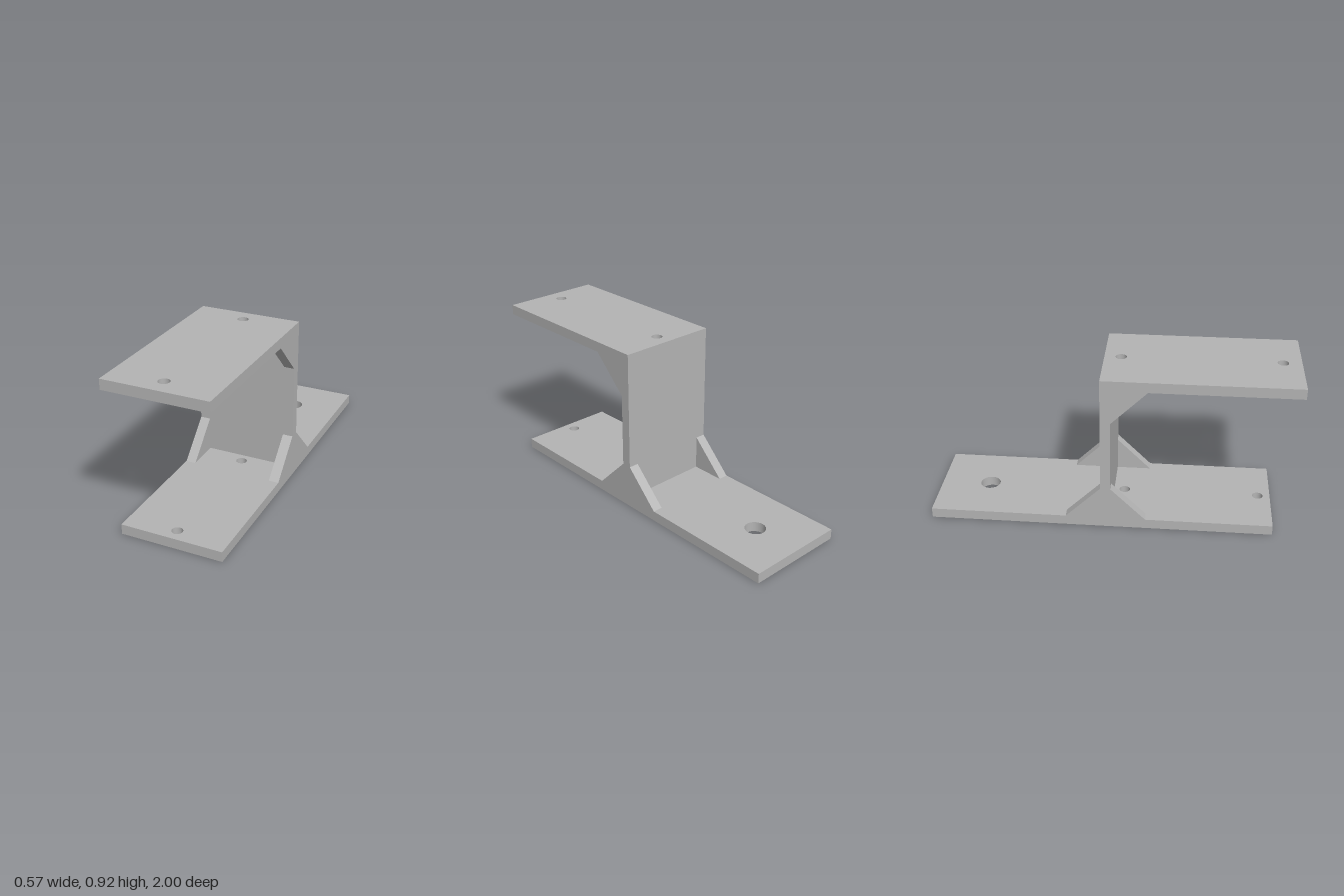
import * as THREE from 'three';

const HALF_W = 0.285; // half width of the bracket
const T = 0.057; // plate thickness
const TOP = 0.915; // total height
const WEB_BACK = -0.045, WEB_FRONT = 0.01;
const LEG = 0.194; // gusset leg length

export function createModel() {
  const group = new THREE.Group();
  group.name = 'bracket';
  const grey = new THREE.MeshStandardMaterial({ color: 0xb4b4b4 });
  grey.name = 'grey';

  const add = (name, geometry) => {
    const mesh = new THREE.Mesh(geometry, grey);
    mesh.name = name;
    group.add(mesh);
    return mesh;
  };

  // Horizontal plate from z0 (back) to z1 (front), with holes given as [z, radius]
  const plate = (name, z0, z1, y, holes) => {
    const shape = new THREE.Shape([
      new THREE.Vector2(-HALF_W, -z1), new THREE.Vector2(HALF_W, -z1),
      new THREE.Vector2(HALF_W, -z0), new THREE.Vector2(-HALF_W, -z0),
    ]);
    for (const [z, r] of holes) {
      shape.holes.push(new THREE.Path().absarc(0, -z, r, 0, Math.PI * 2, true));
    }
    const geo = new THREE.ExtrudeGeometry(shape, { depth: T, bevelEnabled: false, curveSegments: 32 });
    geo.rotateX(-Math.PI / 2);
    add(name, geo).position.y = y;
  };

  plate('basePlate', -1, 0.905, 0, [[-0.72, 0.057], [0.07, 0.03], [0.835, 0.03]]);
  plate('topPlate', WEB_BACK, 1, TOP - T, [[0.045, 0.03], [0.9, 0.03]]);

  // Upright wall joining the plates
  const wallHeight = TOP - 2 * T;
  add('uprightWall', new THREE.BoxGeometry(HALF_W * 2, wallHeight, WEB_FRONT - WEB_BACK))
    .position.set(0, TOP / 2, (WEB_FRONT + WEB_BACK) / 2);

  // Triangular gussets along both side edges: corner position and leg directions
  const corners = [
    ['lowerFrontGusset', WEB_FRONT, T, 1, 1],
    ['lowerBackGusset', WEB_BACK, T, -1, 1],
    ['upperFrontGusset', WEB_FRONT, TOP - T, 1, -1],
  ];
  for (const [name, z, y, dz, dy] of corners) {
    const shape = new THREE.Shape([
      new THREE.Vector2(z, y),
      new THREE.Vector2(z + dz * LEG, y),
      new THREE.Vector2(z, y + dy * LEG),
    ]);
    for (const side of [1, -1]) {
      const geo = new THREE.ExtrudeGeometry(shape, { depth: T, bevelEnabled: false });
      geo.rotateY(-Math.PI / 2);
      add(name + (side > 0 ? 'Left' : 'Right'), geo).position.x = side > 0 ? HALF_W : -HALF_W + T;
    }
  }
  return group;
}
